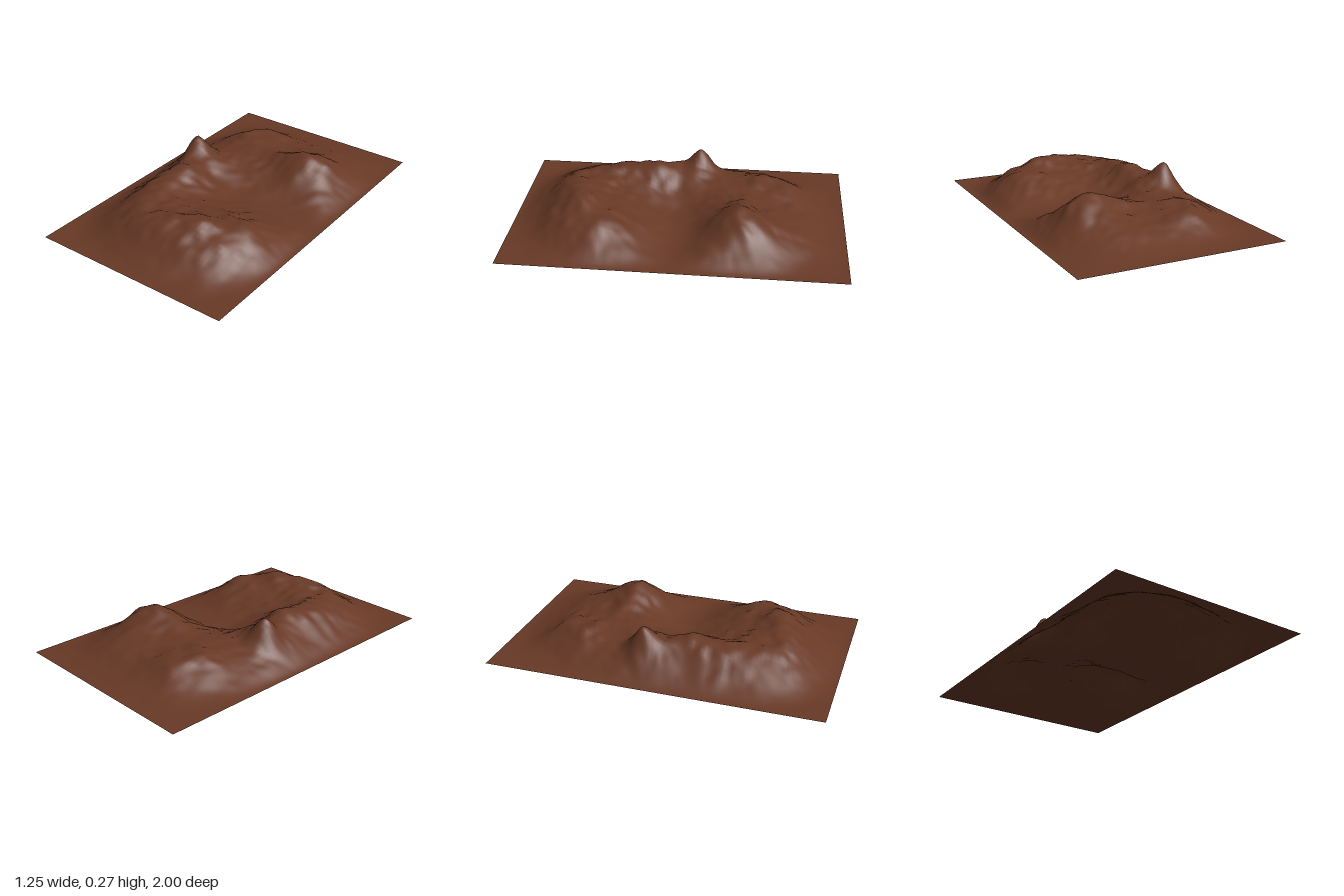
import * as THREE from 'three';

// Cross-sections of the terrain: heights in hundredths at stations XS, one row per ZS.
// The outer border (first and last station of both axes) lies at zero.
const XS = [-0.625, -0.5, -0.38, -0.26, -0.13, 0, 0.13, 0.27, 0.38, 0.5, 0.625];
const ZS = [-1, -0.85, -0.7, -0.6, -0.5, -0.37, -0.23, -0.1, 0.02, 0.15, 0.3, 0.45, 0.6, 0.72, 0.85, 1];
const ROWS = [
  [0, 1, 2, 3, 3, 3, 3, 2, 1],
  [1, 5, 10, 10, 9, 9, 8, 6, 2],
  [2, 8, 13, 12, 10, 11, 12, 9, 4],
  [4, 11, 15, 13, 11, 13, 17, 14, 6],
  [5, 11, 13, 13, 14, 18, 23, 18, 7], // north ridge
  [7, 12, 14, 13, 12, 12, 14, 11, 6],
  [9, 23, 17, 11, 7, 6, 5, 4, 3], // west peak
  [8, 17, 16, 9, 5, 4, 3, 2, 1], // valley mouth
  [6, 16, 20, 12, 7, 6, 6, 5, 3],
  [6, 15, 19, 13, 11, 11, 12, 11, 6],
  [5, 14, 17, 16, 15, 16, 16, 15, 8],
  [4, 11, 15, 17, 19, 21, 17, 13, 5], // south ridge
  [2, 7, 12, 15, 15, 14, 11, 7, 2],
  [0, 2, 4, 6, 6, 5, 3, 2, 0],
];
const FLAT = XS.map(() => 0);
const GRID = [FLAT, ...ROWS.map((r) => [0, ...r, 0]), FLAT];

// Smooth curve through values at uneven stations
function spline(stations, values, t) {
  const last = stations.length - 1;
  let i = 0;
  while (i < last - 1 && t > stations[i + 1]) i++;
  const slope = (k) => (k === 0 || k === last ? 0
    : (values[k + 1] - values[k - 1]) / (stations[k + 1] - stations[k - 1]));
  const d = stations[i + 1] - stations[i];
  const u = (t - stations[i]) / d;
  const u2 = u * u, u3 = u2 * u;
  return (2 * u3 - 3 * u2 + 1) * values[i] + (u3 - 2 * u2 + u) * d * slope(i)
    + (3 * u2 - 2 * u3) * values[i + 1] + (u3 - u2) * d * slope(i + 1);
}

// Seeded value noise in 0..1
function hash(i, j) {
  const s = Math.sin(i * 127.1 + j * 311.7) * 43758.5453;
  return s - Math.floor(s);
}
function noise(x, z) {
  const i = Math.floor(x), j = Math.floor(z);
  const ease = (t) => t * t * (3 - 2 * t);
  const u = ease(x - i), v = ease(z - j);
  const mix = THREE.MathUtils.lerp;
  return mix(mix(hash(i, j), hash(i + 1, j), u), mix(hash(i, j + 1), hash(i + 1, j + 1), u), v);
}

function heightAt(x, z) {
  const base = Math.max(0, spline(ZS, GRID.map((row) => spline(XS, row, x)), z)) / 100;
  // Small crags on a turned lattice, stronger on high ground
  const a = x * 0.8 + z * 0.6, b = z * 0.8 - x * 0.6;
  const crags = (noise(a * 12, b * 12) - 0.5) * 0.02 + (noise(a * 24 + 7, b * 24) - 0.5) * 0.018;
  // Pointed summit
  const tip = 0.03 * Math.max(0, 1 - Math.hypot(x + 0.375, z + 0.1) / 0.08);
  return Math.max(0, base + crags * Math.min(1, base / 0.16) + tip);
}

export function createModel() {
  const group = new THREE.Group();
  group.name = 'mountainTerrain';

  // Open sheet raised into a C-shaped ridge around a valley
  const geometry = new THREE.PlaneGeometry(1.25, 2, 60, 96);
  geometry.rotateX(-Math.PI / 2);
  const pos = geometry.attributes.position;
  for (let i = 0; i < pos.count; i++) pos.setY(i, heightAt(pos.getX(i), pos.getZ(i)));
  geometry.computeVertexNormals();

  const material = new THREE.MeshStandardMaterial({ color: 0x683926, side: THREE.DoubleSide });
  const terrain = new THREE.Mesh(geometry, material);
  terrain.name = 'terrain';
  group.add(terrain);
  return group;
}
